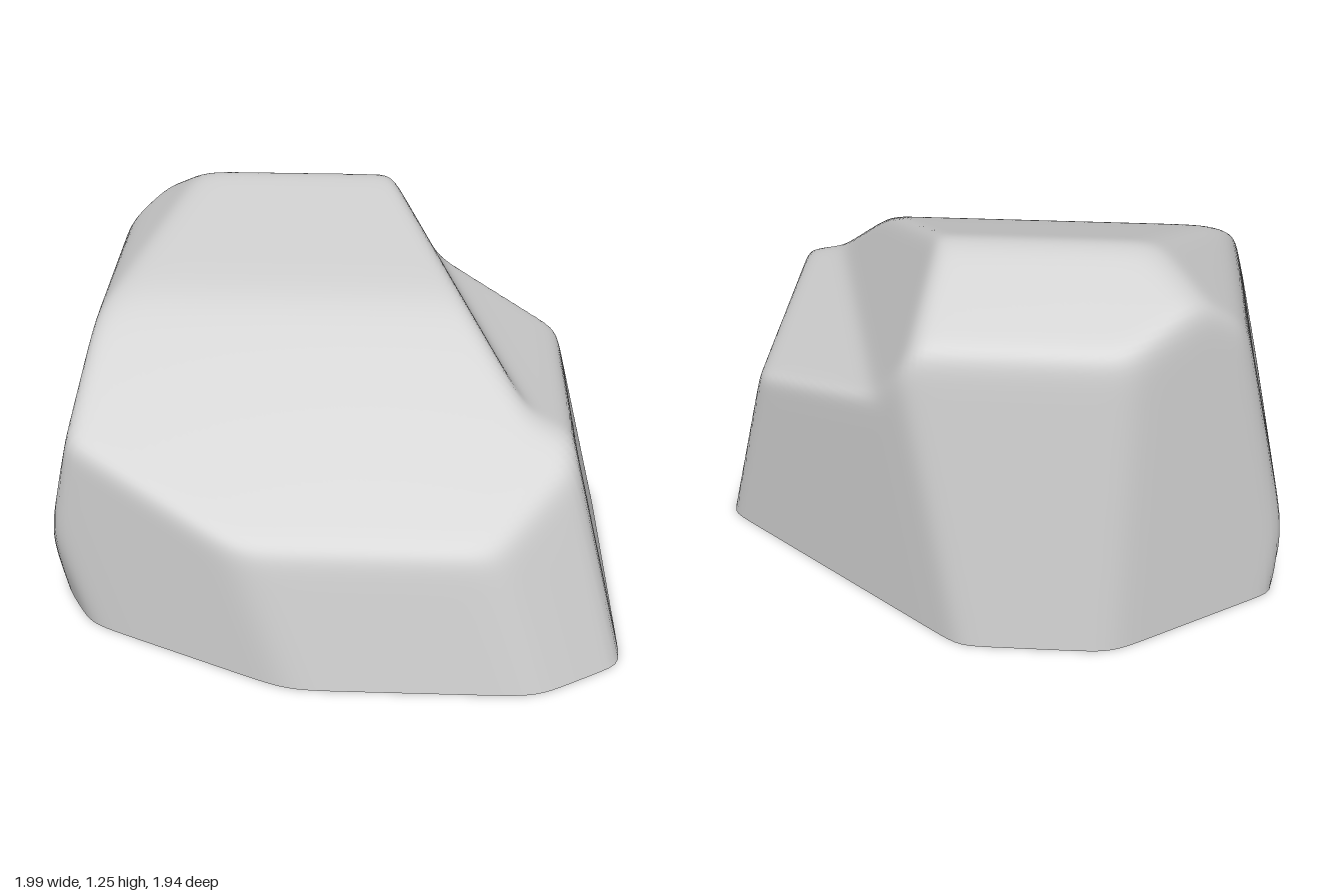
import * as THREE from 'three';
import { mergeVertices } from 'three/addons/utils/BufferGeometryUtils.js';

// A facet is an outward normal and a point it passes through, kept as normal / distance
// from the base centre, so that facet.dot(direction) is 1 / radius along that direction.
function facet(normal, point) {
  const n = new THREE.Vector3(...normal);
  return n.divideScalar(n.dot(new THREE.Vector3(...point)));
}

const facets = [
  facet([0, 0.11, 0.47], [0, 0, 0.97]), // front wall
  facet([0, 0.72, 0.59], [0, 0.47, 0.86]), // long front slope
  facet([0, 0.56, 0.18], [0, 1.065, 0.14]), // gently sloping top
  facet([0, 0.3, -0.23], [0, 1.06, -0.74]), // back slope
  facet([0, 0.13, -0.85], [0, 0, -0.97]), // back wall
  facet([0.67, 0, -0.85], [1, 0, -0.25]), // back wall, +x side
  facet([0.74, 0.19, 0], [1, 0, 0]), // +x wall
  facet([0.18, 0.13, 0.3], [0.72, 0, 0.96]), // front corner, +x side
  facet([-0.34, 0.05, 0.75], [-0.15, 0, 0.96]), // front wall, -x side
  facet([-0.85, -0.2, 0.5], [-0.88, 0, 0.58]), // undercut front corner
  facet([-0.99, -0.15, 0], [-0.975, 0, 0]), // undercut of the -x wall
  facet([-0.8, 0.18, 0], [-1, 0.22, 0]), // -x wall
  facet([-0.132, 0.162, 0], [-0.8, 1.03, 0]), // upper slope, -x side
  facet([-0.35, 0.07, -0.53], [-0.42, 0, -0.97]), // back wall, -x side
];
// The step: the surface follows whichever of these two lies further out
const stepRiser = facet([0.207, 0.116, -0.049], [0.22, 1.22, -0.4]);
const stepTread = facet([0.35, 1, -0.07], [0.6, 0.8, 0.3]);

// Radius of the boulder in a direction, with softly rounded edges
const SHARPNESS = 60;
function radius(dir) {
  const power = (v) => Math.pow(Math.max(v, 0), SHARPNESS);
  let sum = 0;
  for (const f of facets) sum += power(f.dot(dir));
  const a = power(stepRiser.dot(dir));
  const b = power(stepTread.dot(dir));
  if (a > 0 && b > 0) sum += 1 / (1 / a + 1 / b);
  return Math.pow(sum, -1 / SHARPNESS);
}

// Push every vertex of a unit dome or disc out to the boulder surface
function shape(geometry) {
  const p = geometry.attributes.position;
  const v = new THREE.Vector3();
  for (let i = 0; i < p.count; i++) {
    v.fromBufferAttribute(p, i);
    if (v.length() < 1e-6) continue;
    v.normalize();
    v.multiplyScalar(radius(v));
    p.setXYZ(i, v.x, Math.max(v.y, 0), v.z);
  }
  geometry.deleteAttribute('uv');
  geometry.deleteAttribute('normal');
  const merged = mergeVertices(geometry, 1e-5);
  merged.computeVertexNormals();
  return merged;
}

export function createModel() {
  const group = new THREE.Group();
  group.name = 'boulder';
  const material = new THREE.MeshStandardMaterial({ color: 0xcccccc });

  // Faceted stone above the ground
  const dome = new THREE.SphereGeometry(1, 240, 100, 0, Math.PI * 2, 0, Math.PI / 2);
  const stone = new THREE.Mesh(shape(dome), material);
  stone.name = 'stone';

  // Flat underside
  const disc = new THREE.CircleGeometry(1, 240).rotateX(Math.PI / 2);
  const underside = new THREE.Mesh(shape(disc), material);
  underside.name = 'underside';

  group.add(stone, underside);
  return group;
}
